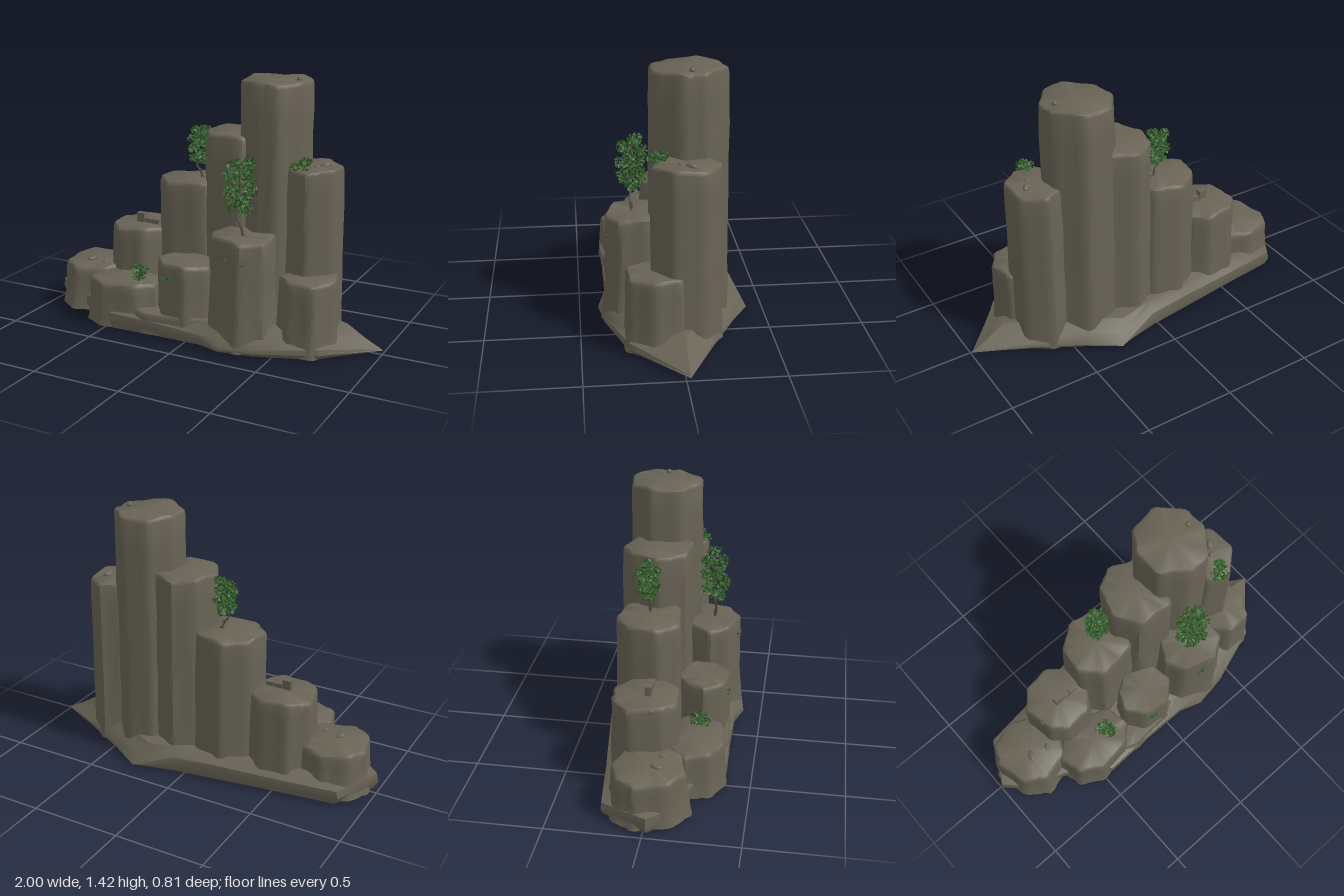
import * as THREE from 'three';
import { toCreasedNormals, mergeGeometries } from 'three/addons/utils/BufferGeometryUtils.js';

const material = (name, color, side = THREE.FrontSide) => {
  const m = new THREE.MeshStandardMaterial({ color, side });
  m.name = name;
  return m;
};

function seeded(seed) {
  let s = seed * 7919 + 17;
  return () => {
    s = (s * 16807) % 2147483647;
    return s / 2147483647;
  };
}

// Skin closed rings of points, bottom to top, with a fan cap at each end
function loft(rings, bottom, top, crease) {
  const n = rings[0].length, pos = rings.flat(2), idx = [];
  for (let j = 0; j < rings.length - 1; j++) {
    for (let i = 0; i < n; i++) {
      const a = j * n + i, b = j * n + (i + 1) % n;
      idx.push(a, a + n, b, b, a + n, b + n);
    }
  }
  const last = (rings.length - 1) * n, c0 = rings.length * n;
  pos.push(...bottom, ...top);
  for (let i = 0; i < n; i++) {
    const k = (i + 1) % n;
    idx.push(c0, i, k, c0 + 1, last + k, last + i);
  }
  const g = new THREE.BufferGeometry();
  g.setAttribute('position', new THREE.Float32BufferAttribute(pos, 3));
  g.setIndex(idx);
  return toCreasedNormals(g, crease);
}

// Weathered prism of rock: uneven corners, chamfered edges, flared foot
function columnGeometry({ x, z, rx, rz, h, sides, rot, flare }, seed) {
  const rand = seeded(seed), outline = [], y0 = 0.015;
  const corners = Array.from({ length: sides }, (_, i) => {
    const a = rot + (i + (rand() - 0.5) * 0.3) / sides * Math.PI * 2;
    const r = 1.02 + (rand() - 0.5) * 0.08;
    return [Math.cos(a) * r, Math.sin(a) * r];
  });
  corners.forEach((p, i) => {
    const q = corners[(i + 1) % sides];
    for (const t of [0.09, 0.3, 0.5, 0.72, 0.91]) {
      const dent = 1 - (rand() * 0.03) * (t > 0.1 && t < 0.9 ? 1 : 0);
      outline.push([(p[0] + (q[0] - p[0]) * t) * dent, (p[1] + (q[1] - p[1]) * t) * dent]);
    }
  });
  const lips = outline.map((p, i) => Math.sin(i * 0.55 + seed) * 0.006);
  const levels = [0, 0.06, 0.14, 0.25, 0.38, 0.52, 0.66, 0.8, 0.9].map(t => [y0 + (h - y0 - 0.03) * t, 1, 0]);
  levels.push([h - 0.022, 0.995, 1], [h - 0.007, 0.97, 1], [h, 0.92, 1]);
  const rings = levels.map(([y, s, lip]) => outline.map(([px, pz], i) => {
    const foot = 1 + flare * Math.exp(-y / 0.12) + 0.05 * (1 - y / h) * (h > 0.5 ? 1 : 0);
    const w = s * foot + (rand() - 0.5) * 0.018 + Math.sin(y * 14 + i * 0.7 + seed) * 0.01;
    return [x + px * rx * w, y + lip * lips[i], z + pz * rz * w];
  }));
  return loft(rings, [x, y0, z], [x, h + 0.003, z], 0.7);
}

// Scatter of small leaf blades filling ellipsoid clumps [x, y, z, rx, ry, rz]
function leafGeometry(clumps, count, size, seed) {
  const rand = seeded(seed), pos = [], idx = [];
  const dir = () => new THREE.Vector3(rand() - 0.5, rand() - 0.5, rand() - 0.5).normalize();
  for (const [x, y, z, rx, ry, rz] of clumps) {
    for (let k = 0; k < count; k++) {
      const d = dir().multiplyScalar(Math.cbrt(rand()));
      const c = new THREE.Vector3(x + d.x * rx, y + d.y * ry, z + d.z * rz);
      const u = dir(), v = u.clone().cross(dir()).normalize().multiplyScalar(size * 0.6);
      u.multiplyScalar(size * (0.7 + rand() * 0.5));
      const b = pos.length / 3;
      for (const p of [c.clone().sub(u), c.clone().add(v), c.clone().add(u), c.clone().sub(v)]) pos.push(p.x, p.y, p.z);
      idx.push(b, b + 1, b + 2, b, b + 2, b + 3);
    }
  }
  const g = new THREE.BufferGeometry();
  g.setAttribute('position', new THREE.Float32BufferAttribute(pos, 3));
  g.setIndex(idx);
  g.computeVertexNormals();
  return g;
}

export function createModel() {
  const model = new THREE.Group();
  const rock = material('rock', 0x686355);
  const bark = material('bark', 0x565040);
  const leaf = material('leaf green', 0x3d6b32, THREE.DoubleSide);
  const darkLeaf = material('dark leaf green', 0x305828, THREE.DoubleSide);
  const add = (name, geometry, mat, parent = model) => {
    const mesh = new THREE.Mesh(geometry, mat);
    mesh.name = name;
    parent.add(mesh);
    return mesh;
  };

  // Ground slab: outline corners as [x, z, lip height], sloping up to the columns
  const rim = [
    [1, -0.02, 0.02], [0.79, 0.2, 0.06], [0.74, 0.26, 0.07], [0.42, 0.37, 0.05], [0.23, 0.4, 0.04],
    [0.1, 0.36, 0.07], [-0.2, 0.36, 0.09], [-0.45, 0.37, 0.1], [-0.63, 0.23, 0.1], [-0.9, 0.12, 0.1],
    [-1, 0.02, 0.11], [-0.93, -0.12, 0.1], [-0.87, -0.23, 0.09], [-0.55, -0.27, 0.09], [-0.2, -0.32, 0.1],
    [0.05, -0.355, 0.1], [0.28, -0.41, 0.02], [0.46, -0.31, 0.05], [0.72, -0.17, 0.05],
  ];
  const rimRing = (s, height) => rim.map(([x, z, lip]) => [x * s, height(lip), z * s]);
  add('groundSlab', loft([
    rimRing(0.975, () => 0.013), rimRing(1, l => l * 0.5 + 0.005), rimRing(0.99, l => l),
    rimRing(0.9, l => l * 0.6 + 0.055), rimRing(0.8, () => 0.13),
  ], [0.25, 0, 0.08], [0, 0.14, 0], 0.7), rock);

  // Stepped rock columns
  const columns = new THREE.Group();
  columns.name = 'rockColumns';
  model.add(columns);
  [
    ['tallColumn', 0.345, -0.075, 0.195, 0.2, 1.4, 8, 0.3, 0.03],
    ['secondColumn', 0.115, -0.08, 0.185, 0.195, 1.1, 7, 0.2, 0.03],
    ['thirdColumn', -0.155, -0.085, 0.2, 0.19, 0.81, 7, 0.1, 0.04],
    ['fourthColumn', -0.47, -0.06, 0.185, 0.19, 0.515, 8, 0.3, 0.06],
    ['lowEndColumn', -0.75, 0.0, 0.19, 0.2, 0.265, 8, 0.1, 0.2],
    ['rightColumn', 0.585, -0.035, 0.145, 0.18, 0.965, 7, 0.4, 0.05],
    ['rightFrontColumn', 0.625, 0.11, 0.155, 0.175, 0.41, 7, 0.1, 0.16],
    ['frontColumn', 0.28, 0.2, 0.18, 0.165, 0.61, 7, 0.5, 0.16],
    ['frontMiddleColumn', -0.055, 0.2, 0.165, 0.145, 0.42, 7, 0.25, 0.12],
    ['frontLowColumn', -0.435, 0.2, 0.22, 0.155, 0.265, 8, 0.2, 0.14],
    ['frontLedge', -0.17, 0.27, 0.25, 0.085, 0.135, 8, 0.2, 0.08],
  ].forEach(([name, x, z, rx, rz, h, sides, rot, flare], i) =>
    add(name, columnGeometry({ x, z, rx, rz, h, sides, rot, flare }, i + 3), rock, columns));

  // Loose stones as [x, y, z, length, height, width, turn]
  [
    [-0.77, 0.272, 0.04, 0.035, 0.012, 0.018, 1.2], [-0.67, 0.268, 0.055, 0.02, 0.012, 0.012, 1.3],
    [-0.62, 0.5, -0.01, 0.016, 0.014, 0.016, 0], [0.465, 1.403, -0.08, 0.015, 0.014, 0.015, 0],
    [0.635, 0.968, -0.06, 0.033, 0.016, 0.018, 0.9], [0.6, 0.966, -0.01, 0.018, 0.012, 0.013, 0.4],
  ].forEach(([x, y, z, a, b, c, turn]) => {
    const stone = add('looseStone', new THREE.IcosahedronGeometry(1, 1), rock);
    stone.position.set(x, y, z);
    stone.scale.set(a, b, c);
    stone.rotation.y = turn;
  });

  // Row of cut blocks with one stacked on the end
  for (const [x, y] of [[-0.482, 0.528], [-0.433, 0.528], [-0.384, 0.528], [-0.482, 0.556]]) {
    const block = add('cutBlock', new THREE.BoxGeometry(0.046, 0.028, 0.034), rock);
    block.position.set(x, y, -0.045);
  }

  // Small wedge jutting from the front column
  const wedge = add('rockWedge', new THREE.ConeGeometry(0.03, 0.06, 4), rock);
  wedge.position.set(0.335, 0.47, 0.335);
  wedge.rotation.x = Math.PI;

  // Trees: crooked trunk, branches reaching into a tall crown of leaf clumps
  const tree = (name, x, y, z, height, radius, seed) => {
    const g = new THREE.Group();
    g.name = name;
    g.position.set(x, y, z);
    model.add(g);
    const rand = seeded(seed);
    const tube = (points, r) => new THREE.TubeGeometry(
      new THREE.CatmullRomCurve3(points.map(p => new THREE.Vector3(...p))), 10, r, 6);
    const wood = [
      tube([[0.015, -0.01, 0], [0.018, 0.1 * height, 0.012], [-0.016, 0.25 * height, 0.005], [0, 0.5 * height, 0], [0, 0.85 * height, 0]], height * 0.016),
      tube([[0.045, -0.005, 0.01], [0.022, 0.012, 0], [0.015, 0.05, 0.005]], height * 0.013),
    ];
    const clumps = [];
    for (let i = 0; i < 14; i++) {
      const t = i / 13, a = i * 2.4, cy = height * (0.33 + t * 0.58);
      const reach = radius * (0.3 + 0.36 * Math.sin(Math.PI * (0.1 + t * 0.75))) * (0.85 + rand() * 0.3);
      const tip = [Math.cos(a) * reach, cy, Math.sin(a) * reach];
      wood.push(tube([[0, cy - height * 0.1, 0], [tip[0] * 0.5, cy - height * 0.04, tip[2] * 0.5], tip], height * 0.005));
      clumps.push([...tip, radius * 0.46, height * 0.075, radius * 0.46]);
    }
    add('trunkAndBranches', mergeGeometries(wood), bark, g);
    add('leaves', leafGeometry(clumps, 38, 0.0115, seed), leaf, g);
    add('shadedLeaves', leafGeometry(clumps, 38, 0.0115, seed + 5), darkLeaf, g);
  };
  tree('frontTree', 0.265, 0.61, 0.21, 0.43, 0.086, 21);
  tree('upperTree', -0.135, 0.81, -0.1, 0.3, 0.064, 34);

  // Low bushes and sprouts growing from cracks
  const bush = (name, clumps, count, seed) => {
    add(name, leafGeometry(clumps, count, 0.011, seed), leaf);
    add(name + 'Shade', leafGeometry(clumps, count, 0.011, seed + 9), darkLeaf);
  };
  bush('rightBush', [[0.555, 0.985, 0.11, 0.055, 0.018, 0.05], [0.575, 1.01, 0.085, 0.035, 0.022, 0.04]], 50, 41);
  bush('lowBush', [[-0.355, 0.318, 0.2, 0.058, 0.024, 0.058], [-0.34, 0.29, 0.23, 0.035, 0.025, 0.04]], 50, 52);
  bush('frontSprout', [[0.235, 0.522, 0.355, 0.028, 0.006, 0.01]], 10, 63);
  bush('middleSprout', [[-0.11, 0.347, 0.338, 0.028, 0.006, 0.01]], 10, 74);

  return model;
}
